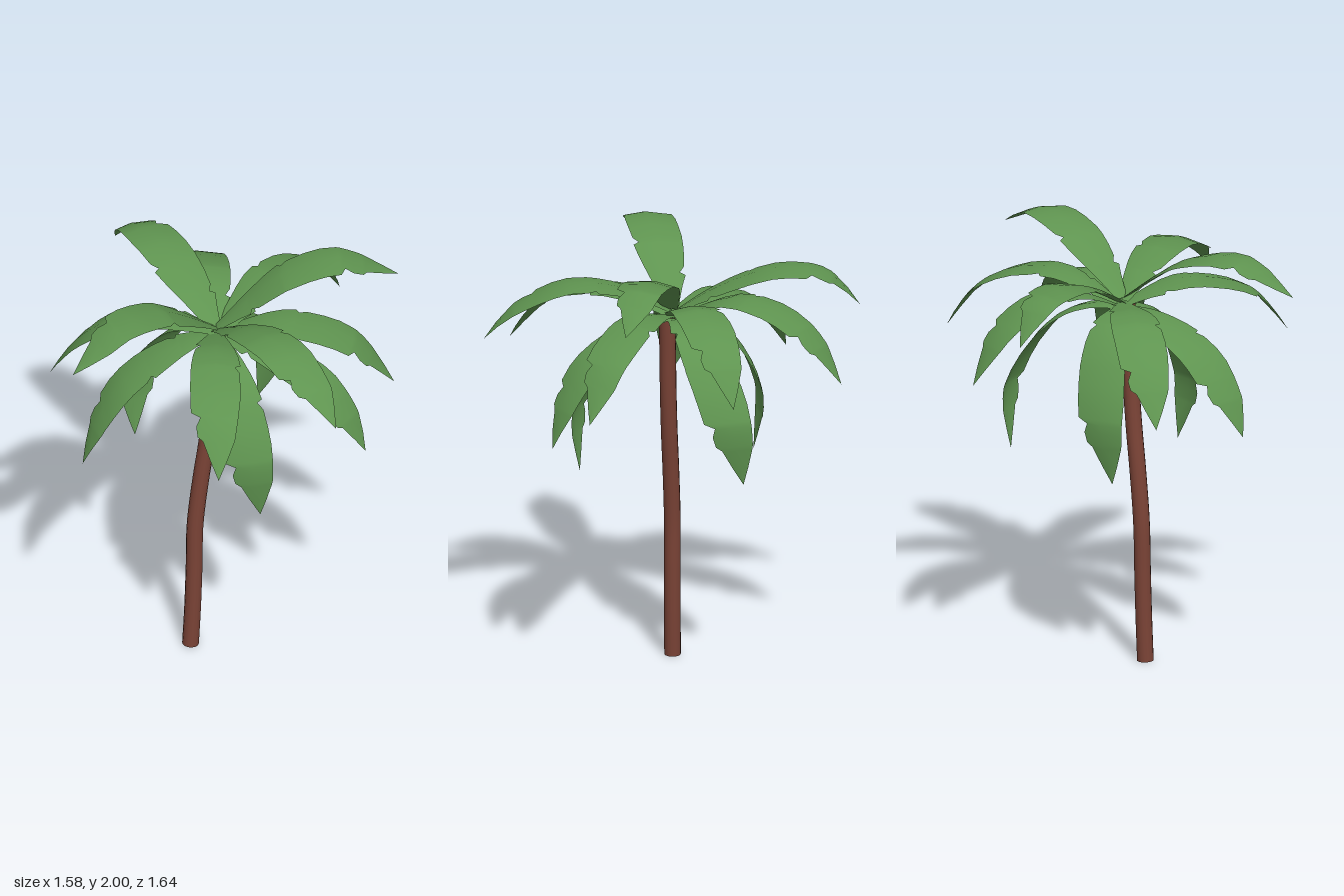
import * as THREE from 'three';

const CROWN = { x: -0.06, z: -0.005 };

// Blade outline: [distance along blade, left half width, right half width], with torn notches
const OUTLINE = [
  [0, 0.03, 0.03], [0.06, 0.042, 0.047], [0.13, 0.058, 0.07], [0.19, 0.073, 0.094], [0.205, 0.076, 0.07],
  [0.24, 0.085, 0.095], [0.31, 0.1, 0.107], [0.38, 0.11, 0.115], [0.395, 0.085, 0.115],
  [0.43, 0.106, 0.119], [0.52, 0.109, 0.12], [0.6, 0.108, 0.12], [0.68, 0.1, 0.118],
  [0.705, 0.097, 0.075], [0.75, 0.09, 0.095], [0.8, 0.082, 0.09], [0.82, 0.076, 0.066],
  [0.91, 0.04, 0.035], [1, 0, 0],
];

// Arch shapes: [fraction of reach, height]
const HIGH = [[0, 1.71], [0.2, 1.85], [0.38, 1.95], [0.64, 1.995], [0.76, 1.965], [1, 1.85]];
const RAISED = [[0, 1.69], [0.15, 1.77], [0.32, 1.84], [0.56, 1.9], [0.8, 1.88], [0.91, 1.81], [1, 1.71]];
const RAISED_LOW = [[0, 1.7], [0.15, 1.78], [0.32, 1.84], [0.56, 1.86], [0.78, 1.79], [0.89, 1.73], [1, 1.62]];
const LEVEL = [[0, 1.68], [0.16, 1.73], [0.36, 1.765], [0.6, 1.735], [0.78, 1.67], [0.91, 1.55], [1, 1.44]];
const LEVEL_UP = [[0, 1.67], [0.16, 1.74], [0.36, 1.8], [0.58, 1.78], [0.77, 1.7], [0.89, 1.6], [1, 1.44]];
const LEVEL_LOW = [[0, 1.69], [0.16, 1.71], [0.36, 1.725], [0.6, 1.68], [0.81, 1.56], [0.91, 1.46], [1, 1.33]];
const DROOP = [[0, 1.67], [0.15, 1.68], [0.42, 1.64], [0.7, 1.54], [0.85, 1.42], [0.94, 1.31], [1, 1.18]];
const HANGING = [[0, 1.66], [0.2, 1.67], [0.55, 1.61], [0.87, 1.45], [1.07, 1.25], [1.08, 1.15], [1, 0.94]];

// Fronds: [tip x, tip z, arch, height shift at the tip, sideways drift of the tip]
const FRONDS = [
  [0.79, -0.08, HIGH, 0.01, 0.1], [-0.79, 0.44, HIGH, -0.02, 0.1],
  [-0.4, -0.79, RAISED, 0, 0.1], [0.37, 0.75, RAISED_LOW, 0, 0.1],
  [-0.18, 0.82, LEVEL, 0, 0.08], [-0.06, -0.82, LEVEL_UP, 0, 0.08],
  [0.59, -0.53, LEVEL_UP, 0.06, 0.1], [0.74, 0.11, LEVEL, -0.04, 0.1], [-0.78, -0.3, LEVEL_LOW, 0, 0.1],
  [0.57, 0.35, DROOP, 0.02, 0.14], [-0.71, 0.22, DROOP, 0, 0.14],
  [0.2, -0.44, HANGING, 0.06, 0.22], [-0.39, -0.28, HANGING, 0.02, 0.14], [0.08, 0.39, HANGING, -0.01, 0.14],
];

// A thin blade swept along its arched midrib, drifting left, gently folded down at the edges
function frondGeometry(tipX, tipZ, arch, shift, drift) {
  const tip = new THREE.Vector3(tipX - CROWN.x, 0, tipZ - CROWN.z);
  const yaw = -Math.asin(drift / tip.length());
  const reach = tip.length() * Math.cos(yaw);
  const facing = tip.normalize().applyAxisAngle(new THREE.Vector3(0, 1, 0), yaw);
  const left = new THREE.Vector3(facing.z, 0, -facing.x);
  const curve = new THREE.CatmullRomCurve3(arch.map(([f, y]) =>
    new THREE.Vector3(CROWN.x, y + shift * f, CROWN.z).addScaledVector(facing, reach * f)));
  const positions = [], indices = [];
  OUTLINE.forEach(([u, l, r], row) => {
    const p = curve.getPointAt(u).addScaledVector(left, drift * u);
    const normal = curve.getTangentAt(u).cross(left);
    for (const w of [l, 0, -r]) {
      const v = p.clone().addScaledVector(left, w).addScaledVector(normal, -0.14 * Math.abs(w));
      positions.push(v.x, v.y, v.z);
    }
    if (row === 0) return;
    for (let c = 0; c < 2; c++) {
      const a = (row - 1) * 3 + c, b = row * 3 + c;
      indices.push(a, a + 1, b, a + 1, b + 1, b);
    }
  });
  const geometry = new THREE.BufferGeometry();
  geometry.setAttribute('position', new THREE.Float32BufferAttribute(positions, 3));
  geometry.setIndex(indices);
  geometry.computeVertexNormals();
  return geometry;
}

export function createModel() {
  const model = new THREE.Group();
  model.name = 'palmTree';
  const bark = new THREE.MeshStandardMaterial({ color: 0x7a4336 });
  bark.name = 'barkBrown';
  const green = new THREE.MeshStandardMaterial({ color: 0x5f9450, side: THREE.DoubleSide });
  green.name = 'leafGreen';

  // Leaning trunk with a closed foot
  const path = new THREE.CatmullRomCurve3([
    [-0.185, 0], [-0.175, 0.2], [-0.168, 0.42], [-0.163, 0.65], [-0.136, 0.9],
    [-0.108, 1.1], [-0.088, 1.3], [-0.075, 1.5], [-0.06, 1.68],
  ].map(([x, y]) => new THREE.Vector3(x, y + 0.003, 0.037 - 0.01 * y)));
  const trunk = new THREE.Mesh(new THREE.TubeGeometry(path, 32, 0.038, 14), bark);
  trunk.name = 'trunk';
  const foot = new THREE.Mesh(new THREE.CircleGeometry(0.038, 14), bark);
  foot.name = 'trunkFoot';
  foot.position.copy(path.getPointAt(0));
  foot.lookAt(foot.position.clone().sub(path.getTangentAt(0)));
  model.add(trunk, foot);

  // Crown of fronds
  const crown = new THREE.Group();
  crown.name = 'crown';
  FRONDS.forEach((spec, i) => {
    const frond = new THREE.Mesh(frondGeometry(...spec), green);
    frond.name = `frond${i + 1}`;
    crown.add(frond);
  });
  model.add(crown);
  return model;
}
